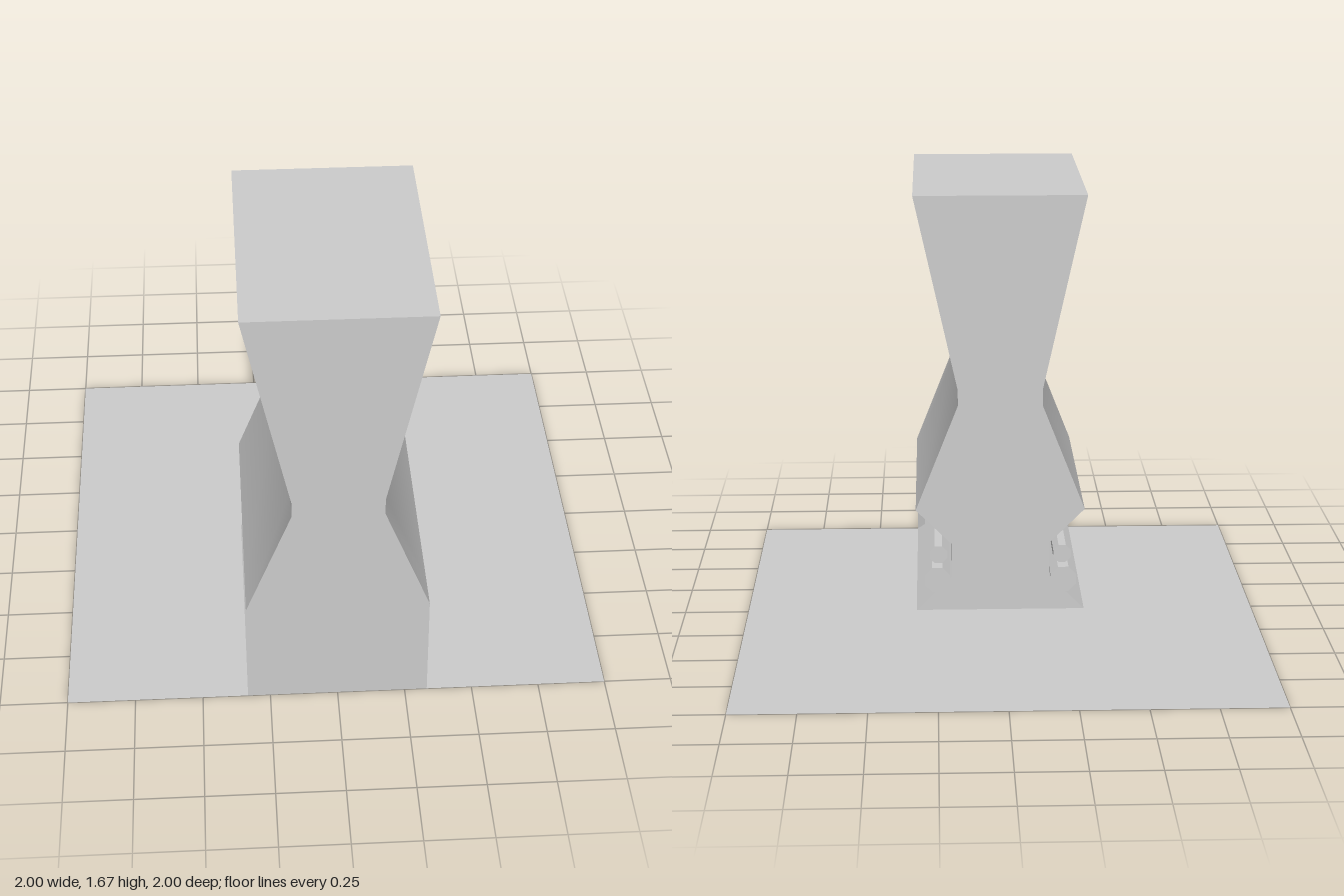
import * as THREE from 'three';
import { toCreasedNormals } from 'three/addons/utils/BufferGeometryUtils.js';

const W = 0.333, BASE = 0.417, D = 0.14; // half width, base height, recess depth

// Half outline from bottom to top; d is the recess depth of the section
const outline = (d) => [
  [W, 0], [W - d, d], [W - d, BASE - d], [W, BASE],
  [0.165, 0.842], [0.165, 0.905], [W, 1.667],
];

// Body lofted along z: the side recesses close with a mitred slope at the front
function bodyGeometry() {
  const sections = [[0, D], [1 - D, D], [1, 0]].map(([z, d]) =>
    outline(d).map(([x, y]) => new THREE.Vector3(x, y, z)));
  const flip = (v) => new THREE.Vector3(-v.x, v.y, v.z);
  const pos = [];
  const tri = (a, b, c) => {
    if (new THREE.Triangle(a, b, c).getArea() < 1e-7) return;
    for (const v of [a, b, c]) pos.push(v.x, v.y, v.z);
  };
  const quad = (a, b, c, d) => { tri(a, b, c); tri(a, c, d); };
  const back = sections[0], front = sections[2], n = back.length;
  for (let i = 0; i < n - 1; i++) {
    // Side walls, right-hand and mirrored
    for (let s = 0; s < 2; s++) {
      const a = sections[s][i], b = sections[s][i + 1];
      const c = sections[s + 1][i + 1], d = sections[s + 1][i];
      quad(a, b, c, d);
      quad(flip(d), flip(c), flip(b), flip(a));
    }
    // End faces
    quad(flip(front[i]), front[i], front[i + 1], flip(front[i + 1]));
    quad(back[i], flip(back[i]), flip(back[i + 1]), back[i + 1]);
  }
  // Top and underside
  quad(flip(front[n - 1]), front[n - 1], back[n - 1], flip(back[n - 1]));
  quad(flip(back[0]), back[0], front[0], flip(front[0]));
  const g = new THREE.BufferGeometry();
  g.setAttribute('position', new THREE.Float32BufferAttribute(pos, 3));
  return toCreasedNormals(g, Math.PI / 6);
}

export function createModel() {
  const group = new THREE.Group();
  const grey = new THREE.MeshStandardMaterial({ color: 0xcccccc });
  const flat = new THREE.MeshStandardMaterial({ color: 0xcccccc, flatShading: true });
  const add = (name, geometry, material) => {
    const mesh = new THREE.Mesh(geometry, material);
    mesh.name = name;
    group.add(mesh);
    return mesh;
  };

  // Thin ground sheet
  add('groundPlane', new THREE.PlaneGeometry(2, 2).rotateX(-Math.PI / 2),
    new THREE.MeshStandardMaterial({ color: 0xcccccc, side: THREE.DoubleSide }));

  add('tower', bodyGeometry(), grey);

  // Two octagonal pipes in each side recess, running into the front slope
  const pipes = [['lowerPipe', 0.25, 0.125, 0.055, 0.972], ['upperPipe', 0.245, 0.232, 0.038, 0.955]];
  for (const [name, x, y, r, length] of pipes) {
    for (const side of [1, -1]) {
      const g = new THREE.CylinderGeometry(r, r, length, 8)
        .rotateY(Math.PI / 8).rotateX(Math.PI / 2);
      add(name + (side > 0 ? 'Left' : 'Right'), g, flat).position.set(side * x, y, length / 2);
    }
  }
  return group;
}
